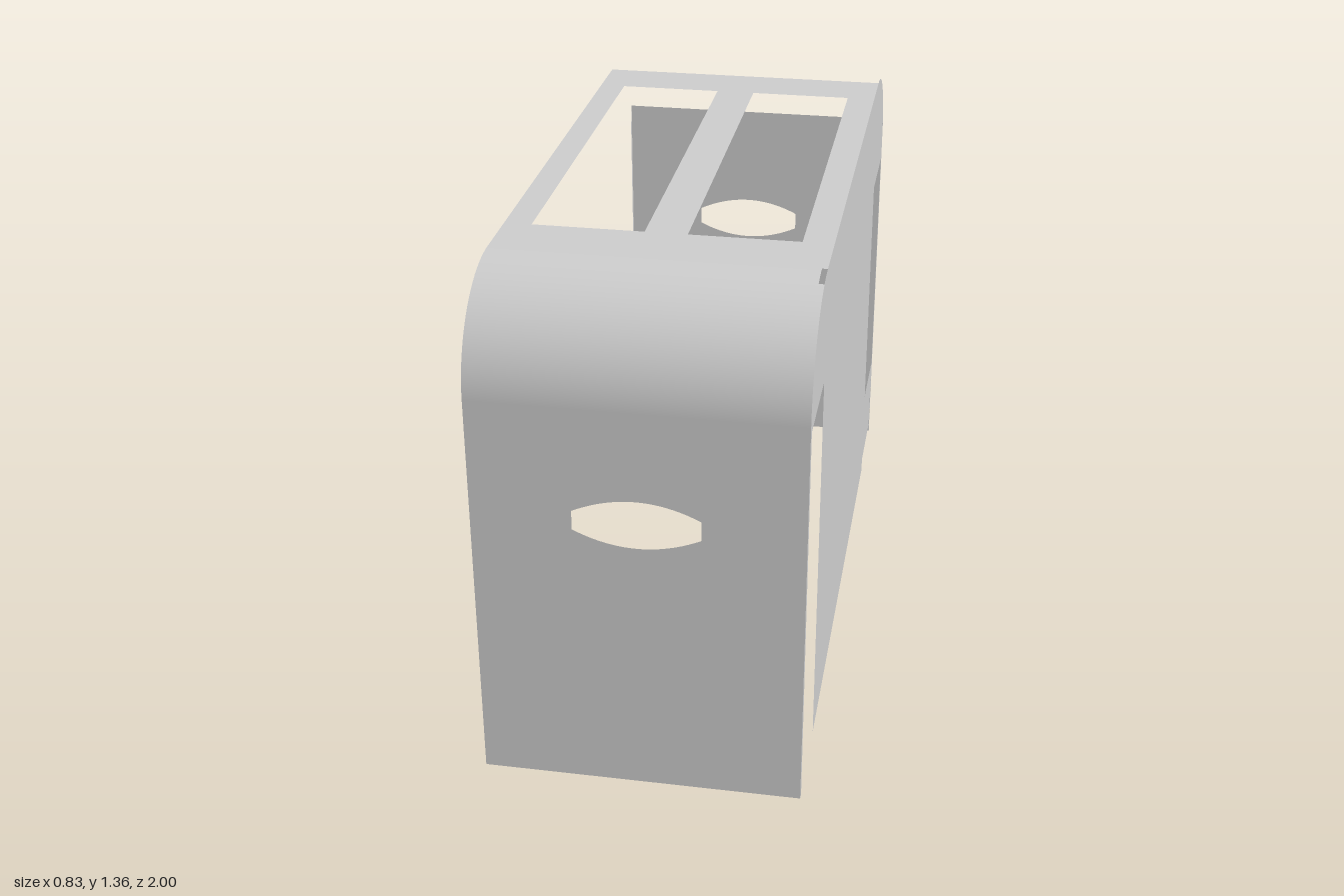
import * as THREE from 'three';

const W = 0.416, TOP = 1.36, R = 0.28, BEND = TOP - R, ZB = 1 - R;
const mat = new THREE.MeshStandardMaterial({ color: 0xcccccc, side: THREE.DoubleSide });

function add(group, name, geometry) {
  const mesh = new THREE.Mesh(geometry, mat);
  mesh.name = name;
  group.add(mesh);
}

// closed outline from corner points
const outline = (pts, Type = THREE.Shape) => new Type(pts.map(p => new THREE.Vector2(...p)));
const rect = (x0, y0, x1, y1, Type) => outline([[x0, y0], [x1, y0], [x1, y1], [x0, y1]], Type);

// lens-shaped hand hole with short straight ends
function handHole(cx) {
  const h = new THREE.Path();
  h.moveTo(cx - 0.16, 0.75);
  h.quadraticCurveTo(cx, 0.672, cx + 0.16, 0.75);
  h.lineTo(cx + 0.16, 0.802);
  h.quadraticCurveTo(cx, 0.882, cx - 0.16, 0.802);
  h.closePath();
  return h;
}

// upright sheet facing front or back
function endPanel(height, holeX, z) {
  const s = rect(-W, 0, W, height);
  s.holes.push(handHole(holeX));
  return new THREE.ShapeGeometry(s, 20).translate(0, 0, z);
}

// sheet in the z-y plane at a given x
const sidePanel = (shape, x) => new THREE.ShapeGeometry(shape, 24).rotateY(-Math.PI / 2).translate(x, 0, 0);

// quarter-round sheet between two angles (0 = front, PI/2 = roof)
function bend(x0, x1, a0, a1) {
  const g = new THREE.PlaneGeometry(x1 - x0, 1, 1, 20);
  const p = g.attributes.position;
  for (let i = 0; i < p.count; i++) {
    const a = a0 + (p.getY(i) + 0.5) * (a1 - a0);
    p.setXYZ(i, p.getX(i) + (x0 + x1) / 2, BEND + R * Math.sin(a), ZB + R * Math.cos(a));
    g.attributes.normal.setXYZ(i, 0, Math.sin(a), Math.cos(a));
  }
  return g;
}

export function createModel() {
  const g = new THREE.Group();
  g.name = 'sheetMetalCover';

  // roof with two long openings
  const roof = rect(-W, -ZB, W, ZB);
  for (const [x0, x1] of [[-0.345, -0.057], [0.052, 0.337]]) {
    roof.holes.push(rect(x0, -0.565, x1, 0.562, THREE.Path));
  }
  add(g, 'roof', new THREE.ShapeGeometry(roof).rotateX(-Math.PI / 2).translate(0, TOP, 0));

  // curved hood, with a narrow relief slit beside the roof
  const slit = Math.acos(0.07 / R);
  add(g, 'hood', bend(-W, W, 0, slit));
  add(g, 'hoodTop', bend(-W, 0.402, slit, Math.PI / 2));

  // front and back panels
  add(g, 'frontPanel', endPanel(BEND, 0, 1));
  add(g, 'backPanel', endPanel(1.15, -0.022, -1));

  // narrow return flanges on the panel edges
  add(g, 'frontFlange', sidePanel(rect(0.98, 0, 1, 1.06), W));
  for (const x of [-W, W]) {
    add(g, 'backFlange', sidePanel(outline([[-1, 0], [-0.985, 0], [-0.985, 1.08], [-1, 1.15]]), x));
  }

  // full side wall: rounded top corners, open front corner, rear window and foot notch
  const wall = new THREE.Shape();
  wall.moveTo(-ZB, 0);
  wall.lineTo(ZB, 0);
  wall.lineTo(ZB, 1.06);
  wall.lineTo(1, 1.06);
  wall.lineTo(1, BEND);
  wall.absarc(ZB, BEND, R, 0, Math.PI / 2, false);
  wall.lineTo(-ZB, TOP);
  wall.absarc(-ZB, BEND, R, Math.PI / 2, Math.PI, false);
  for (const p of [[-1, 1.02], [-ZB, 1.02], [-ZB, 0.28], [-0.998, 0.28], [-0.975, 0.18], [-0.975, 0.04], [-ZB, 0.04]]) {
    wall.lineTo(...p);
  }
  wall.closePath();
  add(g, 'leftWall', sidePanel(wall, W));

  // opposite side: only a front strip with a rounded top
  const strip = new THREE.Shape();
  strip.moveTo(ZB, 0);
  strip.lineTo(1, 0);
  strip.lineTo(1, BEND);
  strip.absarc(ZB, BEND, R, 0, Math.PI / 2, false);
  strip.closePath();
  add(g, 'rightStrip', sidePanel(strip, -W));

  return g;
}
